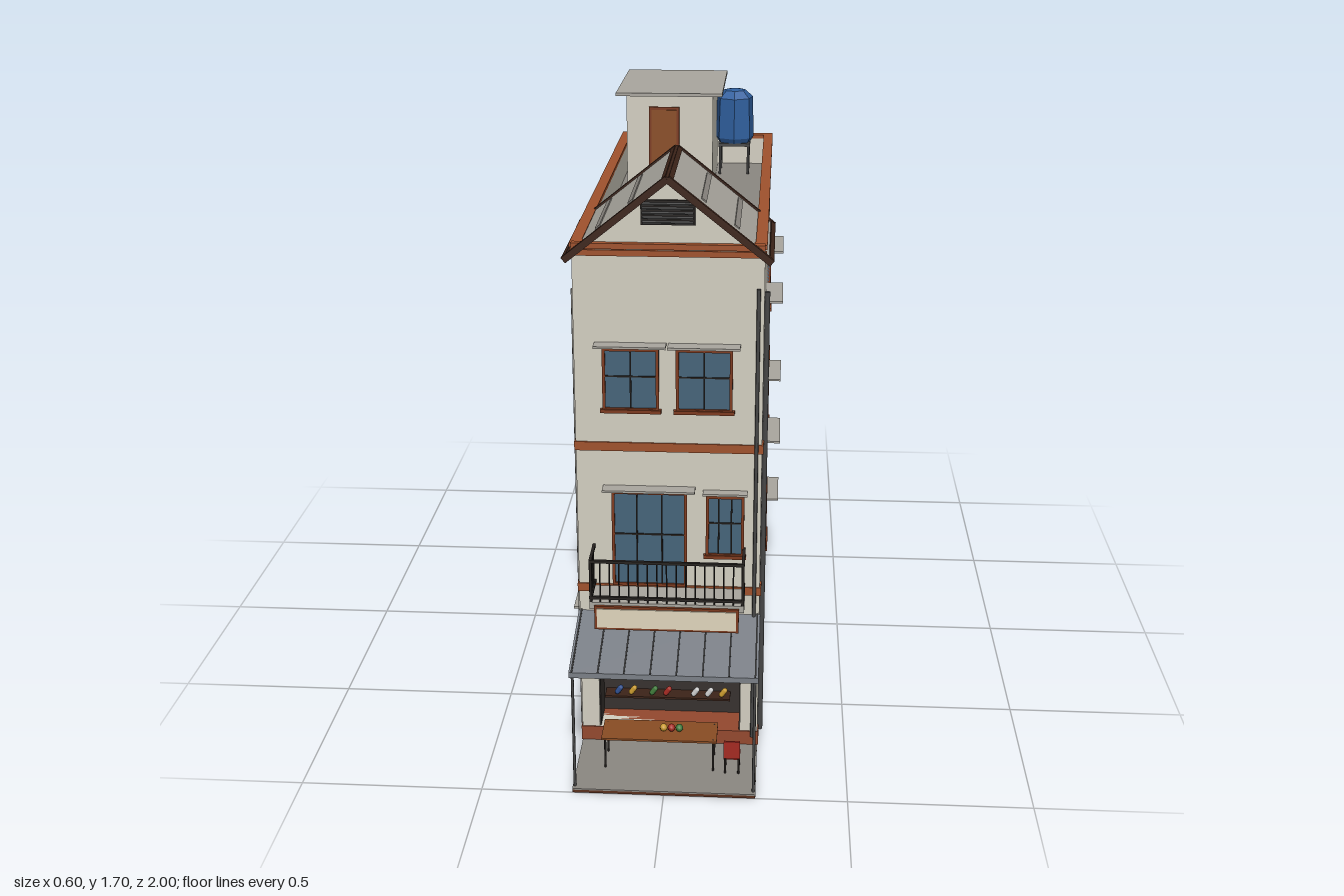
import * as THREE from 'three';

const mat = (color, extra = {}) => new THREE.MeshStandardMaterial({ color, ...extra });
const M = {
  wall: mat(0xd3cfc1), trim: mat(0xa0522d), base: mat(0x94492f), glass: mat(0x46647a),
  frame: mat(0x7d3a1e), dark: mat(0x26221f), slab: mat(0xaaa79f), roof: mat(0x8c8882),
  darkWood: mat(0x3d2419), metal: mat(0x474747), sheet: mat(0x7b8087, { side: THREE.DoubleSide }),
  cream: mat(0xe0d6bd), tank: mat(0x2f5f9e, { flatShading: true }), wood: mat(0x8a4d24),
  soil: mat(0x5a2f1c), white: mat(0xd8d8d8), red: mat(0xa52a22), shop: mat(0x38322f),
  blue: mat(0x2f4f8f), green: mat(0x3f7a3a), yellow: mat(0xc99a2e),
};

function add(parent, name, geo, m, x = 0, y = 0, z = 0) {
  const mesh = new THREE.Mesh(geo, m);
  mesh.name = name;
  mesh.position.set(x, y, z);
  parent.add(mesh);
  return mesh;
}
// Box given by its minimum and maximum on each axis
const box = (p, name, m, x0, x1, y0, y1, z0, z1) =>
  add(p, name, new THREE.BoxGeometry(x1 - x0, y1 - y0, z1 - z0), m, (x0 + x1) / 2, (y0 + y1) / 2, (z0 + z1) / 2);
const rod = (p, name, m, x, y0, y1, z, r = 0.004) =>
  add(p, name, new THREE.CylinderGeometry(r, r, y1 - y0, 8), m, x, (y0 + y1) / 2, z);
function group(parent, name, x = 0, y = 0, z = 0, ry = 0) {
  const g = new THREE.Group();
  g.name = name;
  g.position.set(x, y, z);
  g.rotation.y = ry;
  parent.add(g);
  return g;
}

// Window facing +z, origin at the middle of its lower edge
function makeWindow(parent, name, x, y, z, ry, w, h, { bars = 2, hood = 0, hoodW = 0.19, sill = true } = {}) {
  const g = group(parent, name, x, y, z, ry), a = w / 2, t = 0.008;
  box(g, 'glass', M.glass, -a, a, 0, h, -0.005, 0.005);
  for (const s of [-1, 1]) box(g, 'frameSide', M.frame, s * (a - t / 2) - t / 2, s * (a - t / 2) + t / 2, 0, h, -0.005, 0.01);
  box(g, 'frameTop', M.frame, -a, a, h - t, h, -0.005, 0.01);
  box(g, 'frameBottom', M.frame, -a, a, 0, t, -0.005, 0.01);
  for (let i = 1; i <= bars; i++) {
    const bx = -a + (w * i) / (bars + 1);
    box(g, 'mullion', M.dark, bx - 0.002, bx + 0.002, t, h - t, 0, 0.009);
  }
  box(g, 'crossbar', M.dark, -a + t, a - t, h * 0.55 - 0.002, h * 0.55 + 0.002, 0, 0.008);
  if (sill) box(g, 'sill', M.frame, -a - 0.006, a + 0.006, -0.006, 0.004, -0.005, 0.014);
  if (hood) box(g, 'hood', M.slab, -hoodW / 2, hoodW / 2, h + 0.008, h + 0.014, -0.005, hood);
}

function makeTable(parent, name, x0, x1, y, z0, z1) {
  const g = group(parent, name);
  box(g, 'tabletop', M.wood, x0, x1, y - 0.006, y, z0, z1);
  for (const x of [x0 + 0.01, x1 - 0.01]) for (const z of [z0 + 0.01, z1 - 0.01]) rod(g, 'leg', M.dark, x, 0.01, y, z, 0.003);
  return g;
}

export function createModel() {
  const root = new THREE.Group();
  root.name = 'townHouse';

  // Ground
  box(root, 'groundSlab', M.soil, -0.25, 0.25, 0, 0.008, -1, 1);
  box(root, 'paving', M.roof, -0.25, 0.25, 0.008, 0.012, -1, 1);

  // Walls, with the shop opening cut into the front
  box(root, 'building', M.wall, -0.25, 0.25, 0.01, 1.385, -0.7, 0.65);
  const front = new THREE.Shape([[-0.25, 0.01], [0.25, 0.01], [0.25, 1.385], [-0.25, 1.385]].map(p => new THREE.Vector2(...p)));
  front.holes.push(new THREE.Path([[-0.2, 0.055], [-0.2, 0.36], [0.2, 0.36], [0.2, 0.055]].map(p => new THREE.Vector2(...p))));
  add(root, 'frontWall', new THREE.ExtrudeGeometry(front, { depth: 0.1, bevelEnabled: false }), M.wall, 0, 0, 0.65);

  // Parapet, coping and roof floor
  box(root, 'roofFloor', M.roof, -0.23, 0.23, 1.38, 1.388, -0.68, 0.73);
  for (const s of [-1, 1]) {
    box(root, 'parapetSide', M.wall, s * 0.2375 - 0.0125, s * 0.2375 + 0.0125, 1.385, 1.475, -0.7, 0.75);
    box(root, 'copingSide', M.trim, s * 0.24 - 0.015, s * 0.24 + 0.015, 1.474, 1.486, -0.705, 0.755);
  }
  for (const [z0, z1] of [[-0.7, -0.675], [0.725, 0.75]]) {
    box(root, 'parapetEnd', M.wall, -0.225, 0.225, 1.385, 1.475, z0, z1);
    box(root, 'copingEnd', M.trim, -0.225, 0.225, 1.474, 1.486, z0 - 0.005, z1 + 0.005);
  }
  box(root, 'frontCornice', M.trim, -0.254, 0.254, 1.452, 1.468, 0.74, 0.756);

  // Floor bands and plinth
  box(root, 'plinth', M.base, -0.253, 0.253, 0.012, 0.055, -0.703, 0.753);
  for (const [y0, y1] of [[0.488, 0.512], [0.91, 0.935]]) box(root, 'floorBand', M.trim, -0.254, 0.254, y0, y1, -0.704, 0.754);

  // Side and back windows
  for (const s of [-1, 1]) {
    const ry = s * Math.PI / 2;
    for (const y of [0.605, 1.03]) for (const z of [-0.24, 0.29])
      makeWindow(root, 'sideWindow', s * 0.25, y, z, ry, 0.155, 0.18, { hood: 0.048 });
    makeWindow(root, 'lowerSideWindow', s * 0.25, 0.12, s > 0 ? -0.385 : 0.425, ry, 0.165, 0.18, { bars: 1, hood: 0.048 });
  }
  for (const y of [0.61, 1.03]) makeWindow(root, 'backWindow', 0, y, -0.7, Math.PI, 0.155, 0.175);

  // Front windows and balcony door
  for (const x of [-0.1, 0.095]) makeWindow(root, 'frontWindow', x, 1.028, 0.75, 0, 0.15, 0.175, { bars: 1, hood: 0.04 });
  makeWindow(root, 'balconyDoor', -0.053, 0.512, 0.75, 0, 0.205, 0.283, { bars: 2, hood: 0.04, hoodW: 0.25, sill: false });
  makeWindow(root, 'balconyWindow', 0.153, 0.607, 0.75, 0, 0.104, 0.18, { bars: 2, hood: 0.03, hoodW: 0.12 });

  // Balcony with railing
  const balcony = group(root, 'balcony');
  box(balcony, 'balconySlab', M.slab, -0.21, 0.21, 0.487, 0.507, 0.75, 0.855);
  for (const y of [0.52, 0.628]) {
    box(balcony, 'frontRail', M.dark, -0.21, 0.21, y - 0.004, y + 0.004, 0.847, 0.855);
    for (const x of [-0.206, 0.206]) box(balcony, 'sideRail', M.dark, x - 0.004, x + 0.004, y - 0.004, y + 0.004, 0.75, 0.855);
  }
  for (let i = 0; i <= 16; i++) rod(balcony, 'baluster', M.dark, -0.206 + i * 0.02575, 0.507, 0.628, 0.851, i % 16 ? 0.002 : 0.004);
  for (const x of [-0.206, 0.206]) for (const z of [0.775, 0.8, 0.825]) rod(balcony, 'baluster', M.dark, x, 0.507, 0.628, z, 0.002);

  // Blank sign board
  box(root, 'signFrame', M.frame, -0.196, 0.196, 0.43, 0.5, 0.857, 0.864);
  box(root, 'signPanel', M.cream, -0.189, 0.189, 0.437, 0.493, 0.86, 0.867);

  // Sloping sheet canopy on poles
  const canopy = group(root, 'canopy', 0, 0.395, 0.87);
  canopy.rotation.x = Math.atan2(0.06, 0.245);
  box(canopy, 'canopySheet', M.sheet, -0.253, 0.253, -0.003, 0.003, -0.126, 0.126);
  for (let i = 0; i < 8; i++) box(canopy, 'canopySeam', M.metal, -0.247 + i * 0.07, -0.243 + i * 0.07, 0.002, 0.006, -0.126, 0.126);
  box(root, 'canopyValance', M.sheet, -0.253, 0.253, 0.352, 0.368, 0.988, 0.993);
  for (const x of [-0.244, 0.244]) rod(root, 'canopyPole', M.metal, x, 0.01, 0.365, 0.985);

  // Shop interior: backing, shelves and goods
  const shop = group(root, 'shop');
  box(shop, 'shopBack', M.shop, -0.2, 0.2, 0.055, 0.36, 0.645, 0.655);
  for (const s of [-1, 1]) box(shop, 'shopSide', M.shop, s * 0.199 - 0.002, s * 0.199 + 0.002, 0.055, 0.36, 0.65, 0.745);
  const goods = [M.blue, M.yellow, M.green, M.red, M.white, M.white, M.yellow];
  const item = new THREE.CapsuleGeometry(0.008, 0.016, 3, 8);
  for (let r = 0; r < 3; r++) {
    const y = 0.125 + r * 0.08;
    box(shop, 'shelf', M.darkWood, -0.19, 0.17, y - 0.006, y, 0.655, 0.7);
    [-0.15, -0.11, -0.05, -0.01, 0.07, 0.11, 0.15].forEach((x, i) => {
      const g = add(shop, 'goods', item, goods[(i + r * 3) % 7], x - r * 0.006, y + 0.016, 0.69);
      g.rotation.z = -0.6;
    });
  }

  // Tables and chair
  const ball = new THREE.SphereGeometry(0.011, 8, 6);
  const table = makeTable(root, 'frontTable', -0.18, 0.14, 0.11, 0.8, 0.9);
  [M.yellow, M.red, M.green].forEach((m, i) => add(table, 'produce', ball, m, -0.01 + i * 0.022, 0.12, 0.85));
  const backTable = makeTable(root, 'backTable', -0.195, -0.06, 0.07, -0.88, -0.81);
  [-0.165, -0.13].forEach((x, i) => add(backTable, 'produce', ball, i ? M.yellow : M.wood, x, 0.08, -0.845));
  const chair = group(root, 'chair');
  box(chair, 'seat', M.red, 0.16, 0.205, 0.055, 0.062, 0.855, 0.9);
  box(chair, 'backrest', M.red, 0.16, 0.205, 0.062, 0.115, 0.9, 0.906);
  for (const x of [0.164, 0.201]) for (const z of [0.86, 0.9]) rod(chair, 'chairLeg', M.dark, x, 0.01, 0.058, z, 0.003);

  // Drain pipes
  rod(root, 'drainPipe', M.metal, 0.257, 0.04, 1.35, 0.71, 0.007);
  rod(root, 'drainPipe', M.slab, -0.252, 0.04, 1.35, 0.71, 0.007);
  rod(root, 'drainPipe', M.metal, 0.235, 0.04, 1.37, 0.756, 0.005);
  rod(root, 'drainPipe', M.metal, -0.256, 0.04, 1.35, -0.69, 0.006);

  // Air conditioner on the side wall
  const ac = group(root, 'airConditioner', -0.25, 0.6, -0.55);
  box(ac, 'casing', M.white, -0.042, -0.006, -0.032, 0.032, -0.05, 0.05);
  add(ac, 'fan', new THREE.CylinderGeometry(0.022, 0.022, 0.004, 16), M.metal, -0.043, 0, -0.012).rotation.z = Math.PI / 2;
  for (const z of [-0.035, 0.035]) box(ac, 'bracket', M.metal, -0.042, 0, -0.038, -0.032, z - 0.003, z + 0.003);

  // Front gable with pitched roof
  const gable = group(root, 'gable');
  const tri = new THREE.Shape([[-0.235, 1.46], [0.235, 1.46], [0, 1.648]].map(p => new THREE.Vector2(...p)));
  add(gable, 'gableWall', new THREE.ExtrudeGeometry(tri, { depth: 0.34, bevelEnabled: false }), M.wall, 0, 0, 0.405);
  box(gable, 'gableBeam', M.trim, -0.25, 0.25, 1.472, 1.487, 0.74, 0.762);
  box(gable, 'vent', M.dark, -0.07, 0.07, 1.535, 1.6, 0.744, 0.752);
  for (let i = 0; i < 5; i++) box(gable, 'louvre', M.metal, -0.066, 0.066, 1.54 + i * 0.012, 1.545 + i * 0.012, 0.75, 0.757).rotation.x = 0.5;
  for (const s of [-1, 1]) {
    const slope = group(gable, 'roofSlope', s * 0.134, 1.552, 0.58);
    slope.rotation.z = -s * Math.atan2(0.215, 0.268);
    box(slope, 'roofSheet', M.slab, -0.172, 0.172, -0.004, 0.004, -0.19, 0.19);
    for (const z of [-0.192, 0.192]) box(slope, 'bargeBoard', M.darkWood, -0.172, 0.172, -0.009, 0.009, z - 0.007, z + 0.007);
    for (const x of [-0.165, 0.165]) box(slope, 'edgeBoard', M.darkWood, x - 0.007, x + 0.007, -0.008, 0.008, -0.19, 0.19);
    for (const x of [-0.06, 0.05]) box(slope, 'roofRib', M.roof, x - 0.008, x + 0.008, 0.002, 0.007, -0.16, 0.14);
  }
  rod(gable, 'ridge', M.darkWood, 0, -0.198, 0.198, 0, 0.009).rotation.x = Math.PI / 2;
  gable.children[gable.children.length - 1].position.set(0, 1.657, 0.58);

  // Stair house on the roof
  box(root, 'stairHouse', M.wall, -0.2, 0.07, 1.385, 1.692, -0.645, -0.265);
  box(root, 'stairHouseRoof', M.slab, -0.23, 0.1, 1.69, 1.7, -0.685, -0.23);
  box(root, 'roofDoorFrame', M.frame, -0.13, -0.035, 1.388, 1.652, -0.267, -0.259);
  box(root, 'roofDoor', M.wood, -0.122, -0.043, 1.388, 1.643, -0.265, -0.256);
  add(root, 'doorKnob', new THREE.SphereGeometry(0.006, 8, 6), M.dark, -0.055, 1.51, -0.253);

  // Water tank on a stand
  const tank = group(root, 'waterTank', 0.13, 0, -0.555);
  const profile = [[0, 1.49], [0.056, 1.49], [0.064, 1.505], [0.06, 1.635], [0.035, 1.658], [0, 1.664]];
  add(tank, 'tankBody', new THREE.LatheGeometry(profile.map(p => new THREE.Vector2(...p)), 7), M.tank);
  box(tank, 'stand', M.metal, -0.052, 0.052, 1.48, 1.49, -0.052, 0.052);
  for (const x of [-0.046, 0.046]) for (const z of [-0.046, 0.046]) rod(tank, 'standLeg', M.metal, x, 1.385, 1.482, z);

  return root;
}
